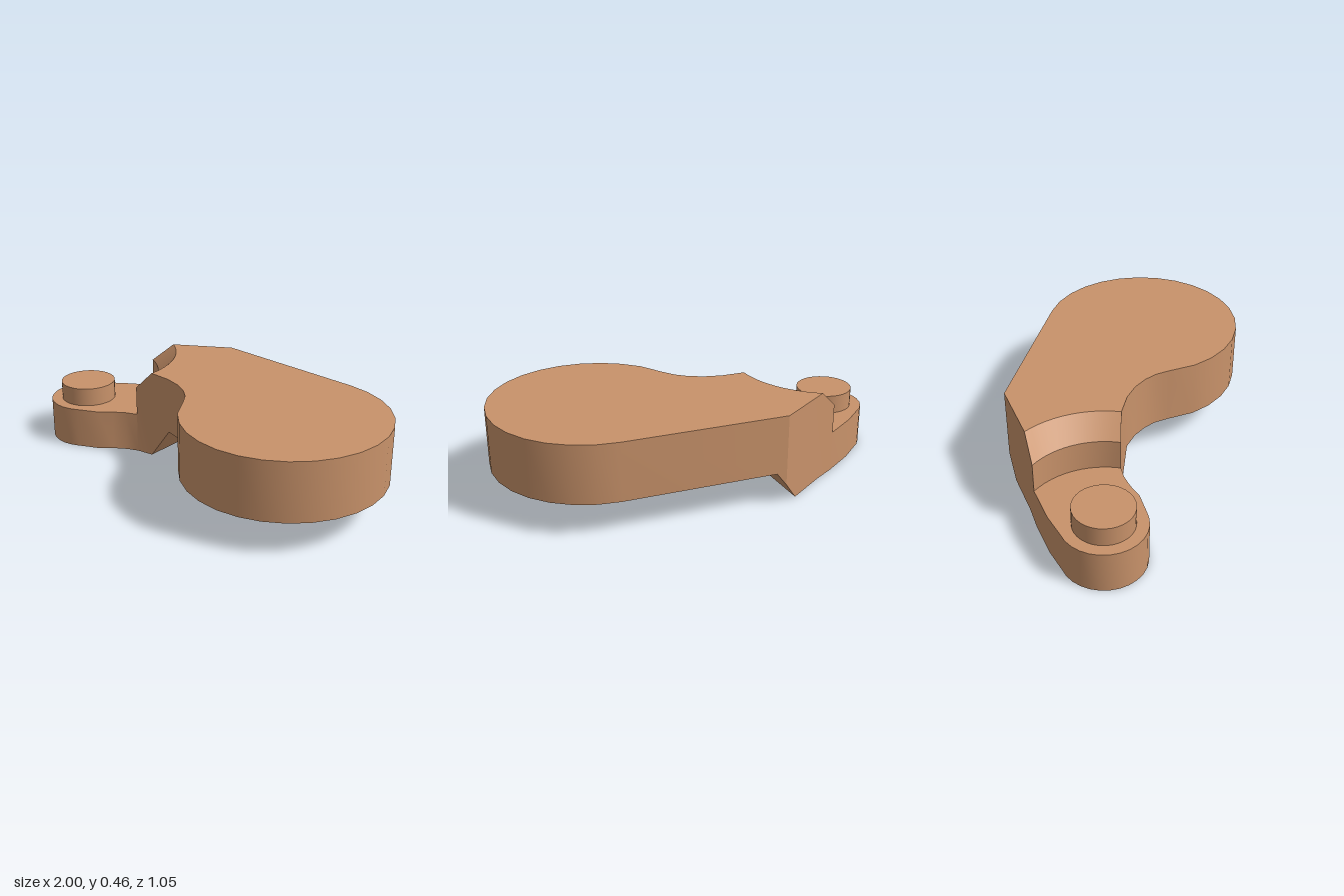
import * as THREE from 'three';
import { toCreasedNormals } from 'three/addons/utils/BufferGeometryUtils.js';

const PIVOT = [-0.8, 0.03];
const DISC = [0.505, 0.03];
const FLOOR = 0.17, ARM_TOP = 0.21, STEP_TOP = 0.36, TOP = 0.46;
const R1 = 0.38, R2 = 0.48; // foot and top radius of the stepped shoulder

const clamp = THREE.MathUtils.clamp;

// Plan points [x, z] along an arc, angles in degrees
function arc(c, r, from, to, n) {
  return Array.from({ length: n + 1 }, (_, i) => {
    const a = THREE.MathUtils.degToRad(from + ((to - from) * i) / n);
    return [c[0] + r * Math.cos(a), c[1] + r * Math.sin(a)];
  });
}

const pivotDistance = ([x, z]) => Math.hypot(x - PIVOT[0], z - PIVOT[1]);
const shoulderY = (p) => STEP_TOP + clamp(pivotDistance(p) - R1, 0, TOP - STEP_TOP);
const underY = ([x]) => FLOOR * clamp((x + 0.33) / 0.13, 0, 1);

function createBody() {
  const pos = [];
  const tri = (a, b, c) => pos.push(...a, ...b, ...c);
  const quad = (a, b, c, d) => { tri(a, b, c); tri(a, c, d); };
  const at = (p, y) => [p[0], y, p[1]];

  // Fills a plan polygon with heights from yOf, facing up or down
  function cap(points, yOf, up) {
    const contour = points.map((p) => new THREE.Vector2(...p));
    for (const face of THREE.ShapeUtils.triangulateShape(contour, [])) {
      const [a, b, c] = face.map((i) => points[i]);
      const area = (b[0] - a[0]) * (c[1] - a[1]) - (b[1] - a[1]) * (c[0] - a[0]);
      const [A, B, C] = [a, b, c].map((p) => at(p, yOf(p)));
      if ((area < 0) === up) tri(A, B, C);
      else tri(A, C, B);
    }
  }

  // Plan outline in four runs
  const foot = arc(PIVOT, R1, -65, 3, 12);
  const brow = arc(PIVOT, R2, -56, 1, 12);
  const rampBack = [-0.33, -0.484], rampFront = [-0.33, 0.039];
  const corner = [-0.25, -0.53];
  const plate = [
    [-0.2, -0.526],
    ...arc(DISC, 0.495, -85, 141, 18),
    [0.05, 0.22], [0.01, 0.16], [-0.04, 0.115], [-0.11, 0.075], [-0.2, 0.048],
  ];
  const arm = [
    foot[12], [-0.48, 0.073], [-0.54, 0.11], [-0.6, 0.16],
    ...arc(PIVOT, 0.2, 62, 240, 14),
    [-0.8, -0.22], foot[0],
  ];

  // Upper faces
  cap([...arm, ...foot.slice(1, -1)], () => ARM_TOP, true);
  cap([rampBack, corner, ...plate, ...brow.slice().reverse()], () => TOP, true);

  // Underside: arm, ramp and plate
  cap([rampFront, ...arm, brow[0], rampBack], underY, false);
  cap([rampBack, corner, plate[0], plate.at(-1), brow[12], rampFront], underY, false);
  cap(plate, underY, false);

  // Curved step and its sloping rim
  for (let i = 0; i < 12; i++) {
    const p = foot[i], q = foot[i + 1];
    quad(at(p, ARM_TOP), at(q, ARM_TOP), at(q, STEP_TOP), at(p, STEP_TOP));
    quad(at(p, STEP_TOP), at(q, STEP_TOP), at(brow[i + 1], TOP), at(brow[i], TOP));
  }

  // Outer walls
  const upper = [foot[0], brow[0], rampBack, corner, ...plate, brow[12], rampFront, foot[12]];
  function walls(run, topOf) {
    for (let i = 0; i < run.length - 1; i++) {
      const p = run[i], q = run[i + 1];
      quad(at(p, underY(p)), at(p, topOf(p)), at(q, topOf(q)), at(q, underY(q)));
    }
  }
  walls(upper, shoulderY);
  walls(arm, () => ARM_TOP);

  const geo = new THREE.BufferGeometry();
  geo.setAttribute('position', new THREE.Float32BufferAttribute(pos, 3));
  return toCreasedNormals(geo, 0.5);
}

export function createModel() {
  const group = new THREE.Group();
  const material = new THREE.MeshStandardMaterial({ color: 0xc8926a });

  const body = new THREE.Mesh(createBody(), material);
  body.name = 'crankedLever';
  group.add(body);

  // Round boss on the low end of the arm
  const boss = new THREE.Mesh(new THREE.CylinderGeometry(0.143, 0.143, 0.1, 32), material);
  boss.name = 'pivotBoss';
  boss.position.set(PIVOT[0], 0.255, PIVOT[1]);
  group.add(boss);

  return group;
}
